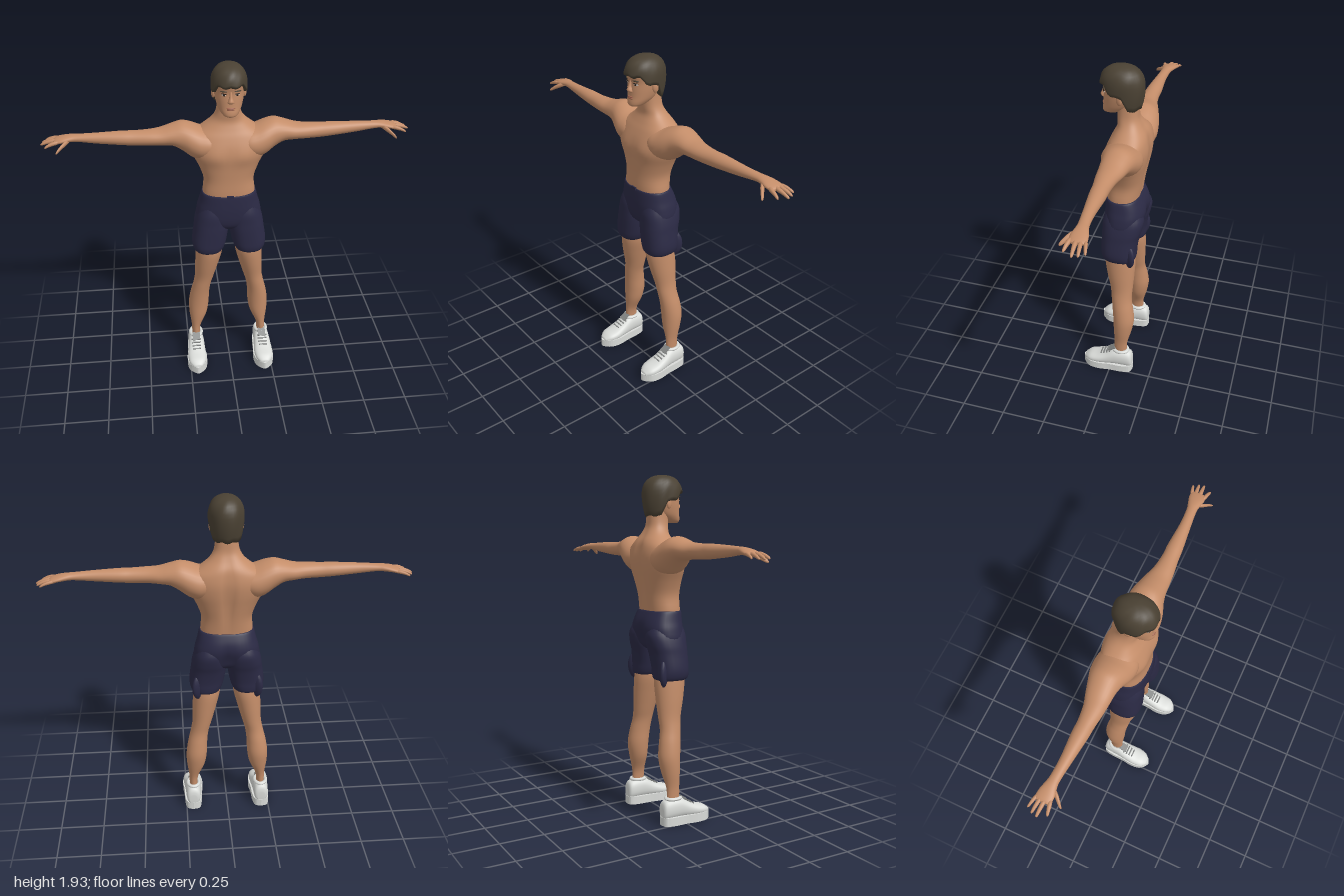
import * as THREE from 'three';

const material = (name, color, side = THREE.FrontSide) => {
  const m = new THREE.MeshStandardMaterial({ color, side });
  m.name = name;
  return m;
};

// Closed skin over a stack of rings of points, with fan caps at both ends
function skinRings(rings, flip = false) {
  const n = rings[0].length, pos = [], idx = [];
  const tri = (a, b, c) => (flip ? idx.push(a, c, b) : idx.push(a, b, c));
  rings.forEach((ring) => ring.forEach((p) => pos.push(...p)));
  for (let i = 0; i < rings.length - 1; i++) {
    for (let j = 0; j < n; j++) {
      const a = i * n + j, b = i * n + (j + 1) % n;
      tri(a, a + n, b);
      tri(b, a + n, b + n);
    }
  }
  [0, rings.length - 1].forEach((r, end) => {
    const c = pos.length / 3;
    pos.push(...[0, 1, 2].map((k) => rings[r].reduce((s, p) => s + p[k], 0) / n));
    for (let j = 0; j < n; j++) {
      const a = r * n + j, b = r * n + (j + 1) % n;
      if (end) tri(a, c, b); else tri(a, b, c);
    }
  });
  const g = new THREE.BufferGeometry();
  g.setAttribute('position', new THREE.Float32BufferAttribute(pos, 3));
  g.setIndex(idx);
  g.computeVertexNormals();
  return g;
}

// Smooth loft; each station is [position on axis, minA, maxA, minB, maxB]
function loft(stations, { axis = 'y', seg = 28, sub = 4, pow = 2, warp } = {}) {
  const rings = [], last = stations.length - 1;
  const at = (i, k) => stations[Math.max(0, Math.min(last, i))][k];
  const shape = (v) => Math.sign(v) * Math.abs(v) ** (2 / pow);
  for (let s = 0; s <= last * sub; s++) {
    const i = Math.min(last - 1, Math.floor(s / sub)), u = s / sub - i;
    const [t, a0, a1, b0, b1] = [0, 1, 2, 3, 4].map((k) => {
      const p0 = at(i - 1, k), p1 = at(i, k), p2 = at(i + 1, k), p3 = at(i + 2, k);
      return p1 + 0.5 * u * (p2 - p0 + u * (2 * p0 - 5 * p1 + 4 * p2 - p3 + u * (3 * (p1 - p2) + p3 - p0)));
    });
    rings.push(Array.from({ length: seg }, (_, j) => {
      const w = (j / seg) * Math.PI * 2;
      const a = (a0 + a1) / 2 + shape(Math.cos(w)) * (a1 - a0) / 2;
      const b = (b0 + b1) / 2 + shape(Math.sin(w)) * (b1 - b0) / 2;
      const p = axis === 'y' ? [a, t, b] : axis === 'x' ? [t, a, b] : [a, b, t];
      return warp ? warp(p) : p;
    }));
  }
  return skinRings(rings, axis !== 'y');
}

function mirrored(geo) {
  const g = geo.clone().scale(-1, 1, 1);
  if (!g.index) g.setIndex([...Array(g.attributes.position.count).keys()]);
  const ix = g.index.array;
  for (let i = 0; i < ix.length; i += 3) [ix[i], ix[i + 1]] = [ix[i + 1], ix[i]];
  g.computeVertexNormals();
  return g;
}

const blob = (x, y, z, rx, ry, rz, turn = 0) =>
  new THREE.SphereGeometry(1, 16, 10).scale(rx, ry, rz).rotateY(turn).translate(x, y, z);

export function createModel() {
  const model = new THREE.Group();
  model.name = 'swimmer';
  const skin = material('skin', 0xc48d69), navy = material('navy cloth', 0x2b2a45);
  const hairMat = material('brown hair', 0x4a4133, THREE.DoubleSide);
  const white = material('shoe white', 0xd9dbd8), grey = material('lace grey', 0x858786);
  const lip = material('lip', 0xa0644e), dark = material('eye dark', 0x2b201a);
  const eyeWhite = material('eye white', 0xcfc4ba);
  const add = (name, geo, mat) => {
    const m = new THREE.Mesh(geo, mat);
    m.name = name;
    model.add(m);
  };
  const pair = (name, geo, mat) => {
    add('left' + name, geo, mat);
    add('right' + name, mirrored(geo), mat);
  };
  const bump = (v, c, w) => Math.exp(-(((v - c) / w) ** 2));

  // Torso and neck, with spine groove and chest muscles
  const sym = ([y, w, b, f]) => [y, -w, w, b, f];
  add('torso', loft([
    [1.1, 0.135, -0.115, 0.05], [1.18, 0.146, -0.122, 0.064], [1.27, 0.14, -0.135, 0.064],
    [1.35, 0.166, -0.15, 0.068], [1.42, 0.2, -0.163, 0.072], [1.48, 0.212, -0.168, 0.064],
    [1.53, 0.195, -0.162, 0.046], [1.57, 0.14, -0.15, 0.026], [1.61, 0.093, -0.125, 0.01],
    [1.65, 0.069, -0.106, 0.012], [1.7, 0.061, -0.1, 0.014], [1.76, 0.06, -0.095, 0.015],
  ].map(sym), {
    seg: 48, pow: 2.3, warp: ([x, y, z]) => {
      if (z < -0.06) z += 0.02 * bump(x, 0, 0.025) * bump(y, 1.4, 0.17);
      else if (z > 0) z += 0.01 * bump(Math.abs(x), 0.08, 0.06) * bump(y, 1.43, 0.05);
      return [x, y, z];
    },
  }), skin);

  // Arms with palms
  pair('Arm', loft([
    [0.06, 1.43, 1.54, -0.13, 0.03], [0.1, 1.4, 1.555, -0.15, 0.055], [0.15, 1.385, 1.568, -0.162, 0.058],
    [0.2, 1.4, 1.587, -0.16, 0.048], [0.25, 1.437, 1.597, -0.15, 0.03], [0.3, 1.467, 1.585, -0.135, 0.02],
    [0.36, 1.475, 1.568, -0.118, 0.015], [0.42, 1.478, 1.563, -0.1, 0.01], [0.5, 1.48, 1.56, -0.09, 0],
    [0.57, 1.485, 1.56, -0.09, -0.005], [0.7, 1.497, 1.555, -0.082, -0.02], [0.8, 1.509, 1.55, -0.085, -0.03],
    [0.84, 1.51, 1.548, -0.094, -0.028], [0.88, 1.507, 1.541, -0.105, -0.02],
    [0.915, 1.503, 1.531, -0.108, -0.022], [0.928, 1.509, 1.523, -0.1, -0.03],
  ], { axis: 'x' }), skin);

  // Fingers and thumb: start and tip as [x, y, z], then radius
  [
    ['IndexFinger', [0.895, 1.519, -0.032], [0.975, 1.497, -0.016], 0.0105],
    ['MiddleFinger', [0.9, 1.519, -0.056], [1, 1.496, -0.062], 0.0105],
    ['RingFinger', [0.9, 1.519, -0.078], [0.993, 1.497, -0.09], 0.01],
    ['LittleFinger', [0.895, 1.517, -0.097], [0.975, 1.499, -0.118], 0.009],
    ['Thumb', [0.845, 1.522, -0.042], [0.915, 1.479, 0.022], 0.013],
  ].forEach(([name, p, q, r]) => pair(name, loft([[0, 0.7], [0.3, 1.05], [0.65, 0.9], [0.92, 0.65], [1, 0.2]]
    .map(([t, k]) => {
      const [x, y, z] = p.map((v, i) => v + (q[i] - v) * t);
      const drop = y + 0.006 * Math.sin(t * Math.PI);
      return [x, drop - r * k, drop + r * k, z - r * k, z + r * k];
    }), { axis: 'x', seg: 12, sub: 3 }), skin));

  // Legs
  pair('Leg', loft([
    [0.1, 0.18, 0.228, -0.1, -0.025], [0.17, 0.18, 0.228, -0.098, -0.022], [0.22, 0.17, 0.23, -0.102, -0.021],
    [0.3, 0.135, 0.24, -0.122, -0.014], [0.38, 0.121, 0.242, -0.134, -0.01], [0.46, 0.117, 0.23, -0.125, -0.003],
    [0.53, 0.108, 0.213, -0.113, 0.006], [0.6, 0.088, 0.201, -0.115, 0.016], [0.7, 0.06, 0.198, -0.12, 0.04],
    [0.8, 0.037, 0.193, -0.12, 0.056], [0.9, 0.04, 0.185, -0.1, 0.05],
  ]), skin);

  // Shorts: hips, two legs, hanging side flaps and waist tie
  add('shortsHips', loft([
    [0.95, 0.05, -0.08, 0.02], [0.98, 0.13, -0.125, 0.052], [1.02, 0.182, -0.146, 0.066],
    [1.08, 0.179, -0.16, 0.071], [1.13, 0.165, -0.152, 0.071], [1.175, 0.154, -0.132, 0.069],
    [1.187, 0.148, -0.124, 0.066],
  ].map(sym), {
    seg: 40, pow: 2.5, warp: ([x, y, z]) =>
      [x, y, z < -0.06 ? z + 0.022 * bump(x, 0, 0.025) * bump(y, 1.03, 0.07) : z],
  }), navy);
  pair('ShortsLeg', loft([
    [0.802, 0.06, 0.18, -0.1, 0.045], [0.812, 0.038, 0.2, -0.122, 0.064], [0.84, 0.024, 0.211, -0.127, 0.072],
    [0.88, 0.014, 0.212, -0.128, 0.073], [0.95, 0.003, 0.202, -0.138, 0.073], [1, 0, 0.195, -0.152, 0.071],
    [1.06, 0.008, 0.178, -0.158, 0.068], [1.12, 0.025, 0.15, -0.13, 0.05],
  ], { pow: 2.4 }), navy);
  pair('ShortsFlap', blob(0, 0, 0, 0.052, 0.08, 0.024).rotateY(Math.PI / 4).translate(0.16, 0.85, -0.092), navy);
  add('waistTie', new THREE.BoxGeometry(0.038, 0.016, 0.009).translate(0, 1.186, 0.068), navy);

  // Head, nose, lips, ears
  add('head', loft([
    [1.668, 0.022, 0.03, 0.08], [1.677, 0.04, 0, 0.091], [1.695, 0.054, -0.035, 0.092],
    [1.72, 0.066, -0.07, 0.088], [1.76, 0.076, -0.098, 0.086], [1.8, 0.081, -0.11, 0.084],
    [1.84, 0.083, -0.112, 0.091], [1.88, 0.074, -0.1, 0.08], [1.91, 0.045, -0.06, 0.045],
  ].map(sym), { seg: 32, pow: 2.2 }), skin);
  add('nose', loft([
    [1.744, 0.008, 0.07, 0.088], [1.752, 0.018, 0.07, 0.1], [1.762, 0.015, 0.07, 0.105],
    [1.78, 0.009, 0.07, 0.097], [1.8, 0.007, 0.07, 0.09], [1.82, 0.006, 0.07, 0.085],
  ].map(sym), { seg: 14 }), skin);
  add('upperLip', blob(0, 1.722, 0.085, 0.023, 0.005, 0.008), lip);
  add('lowerLip', blob(0, 1.714, 0.085, 0.02, 0.006, 0.008), lip);
  pair('Ear', blob(0.083, 1.772, -0.015, 0.009, 0.028, 0.017, -0.3), skin);
  pair('Eye', blob(0.034, 1.792, 0.074, 0.014, 0.006, 0.006, 0.35), eyeWhite);
  pair('Iris', blob(0.034, 1.792, 0.078, 0.006, 0.006, 0.004, 0.35), dark);
  pair('EyeLid', blob(0.034, 1.798, 0.076, 0.016, 0.0025, 0.006, 0.35), dark);
  pair('Eyebrow', blob(0.036, 1.812, 0.077, 0.02, 0.004, 0.006, 0.35), hairMat);

  // Short hair with a rim that drops behind the ears
  const step = THREE.MathUtils.smoothstep, hairRings = [];
  for (let i = 0; i <= 12; i++) {
    const u = i / 12 * 0.97;
    hairRings.push(Array.from({ length: 40 }, (_, j) => {
      const a = (j / 40) * Math.PI * 2, s = Math.sin(a);
      const rim = 1.705 + 0.085 * step(s, -0.5, -0.1) + 0.048 * step(s, 0.3, 0.75) + 0.004 * Math.sin(9 * a);
      const y = rim + (1.93 - rim) * Math.sin(u * Math.PI / 2);
      const h = (y - 1.82) / 0.11;
      const r = (h > 0 ? (1 - h ** 2.4) ** (1 / 2.4) : 1 - 0.13 * h * h) * (1 + 0.015 * Math.sin(7 * a + 8 * u));
      return [0.095 * r * Math.cos(a), y, -0.01 + 0.118 * r * s];
    }));
  }
  add('hair', skinRings(hairRings), hairMat);

  // Shoes: sole, upper, collar, tongue and laces
  const outline = new THREE.Shape();
  outline.moveTo(0.207, -0.138);
  outline.splineThru([[0.245, -0.125], [0.258, -0.07], [0.26, 0], [0.268, 0.07], [0.258, 0.13], [0.22, 0.168],
    [0.195, 0.168], [0.158, 0.13], [0.146, 0.07], [0.154, 0], [0.157, -0.07], [0.17, -0.125], [0.207, -0.138]]
    .map(([x, z]) => new THREE.Vector2(x, z)));
  pair('ShoeSole', new THREE.ExtrudeGeometry(outline, { depth: 0.048, bevelEnabled: false, curveSegments: 4 })
    .rotateX(Math.PI / 2).translate(0, 0.048, 0), white);
  pair('ShoeUpper', loft([
    [-0.134, 0.185, 0.23, 0.04, 0.1], [-0.12, 0.166, 0.247, 0.03, 0.138], [-0.06, 0.161, 0.253, 0.03, 0.15],
    [-0.02, 0.157, 0.256, 0.03, 0.146], [0.03, 0.154, 0.261, 0.03, 0.116], [0.08, 0.151, 0.264, 0.03, 0.094],
    [0.13, 0.16, 0.256, 0.03, 0.08], [0.162, 0.185, 0.23, 0.035, 0.058],
  ], { axis: 'z', pow: 2.3 }), white);
  pair('ShoeCollar', new THREE.TorusGeometry(0.034, 0.01, 8, 20).rotateX(Math.PI / 2)
    .scale(1, 1, 1.25).translate(0.205, 0.147, -0.06), white);
  pair('ShoeTongue', new THREE.BoxGeometry(0.045, 0.009, 0.05).rotateX(0.6).translate(0.206, 0.148, -0.008), grey);
  for (let i = 0; i < 4; i++) {
    const z = 0.004 + i * 0.018;
    pair('Lace' + (i + 1), new THREE.BoxGeometry(0.06 - i * 0.003, 0.008, 0.007)
      .rotateX(0.5).translate(0.207, 0.134 - i * 0.0105, z), grey);
  }
  return model;
}
